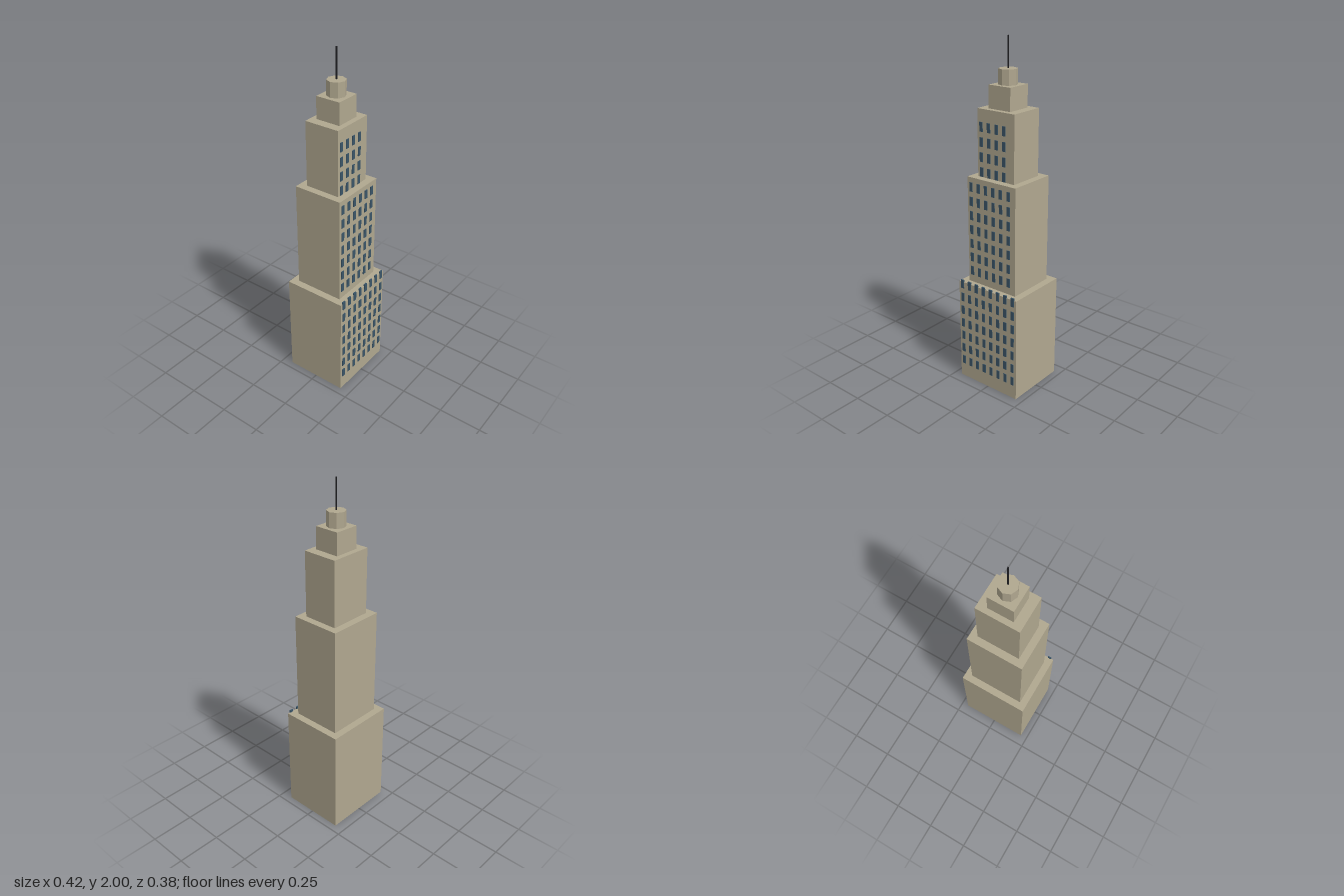
import * as THREE from 'three';

const stone = new THREE.MeshStandardMaterial({ color: 0xb0a78f });
stone.name = 'stone';
const glass = new THREE.MeshStandardMaterial({ color: 0x3a5568 });
glass.name = 'window glass';
const dark = new THREE.MeshStandardMaterial({ color: 0x1f1f22 });
dark.name = 'dark metal';

const ZC = -0.002;     // tower axis, set back by the window relief
const COL = 0.0521;    // window column spacing
const ROW = 0.0833;    // window row spacing

function add(parent, name, geometry, material, x, y, z) {
  const mesh = new THREE.Mesh(geometry, material);
  mesh.name = name;
  mesh.position.set(x, y, z);
  parent.add(mesh);
  return mesh;
}

export function createModel() {
  const tower = new THREE.Group();
  tower.name = 'tower';

  // Stepped tiers; windows are on the front only, cols from x0, rows from row0
  const tiers = [
    { name: 'baseTier', w: 0.417, d: 0.375, y0: 0, y1: 0.625, cols: 8, x0: -0.1825, rows: 7, row0: 0 },
    { name: 'middleTier', w: 0.333, d: 0.292, y0: 0.625, y1: 1.25, cols: 6, x0: -0.1405, rows: 7, row0: 7 },
    { name: 'upperTier', w: 0.25, d: 0.208, y0: 1.25, y1: 1.625, cols: 4, x0: -0.099, rows: 4, row0: 14 },
    { name: 'crownTier', w: 0.146, d: 0.146, y0: 1.625, y1: 1.75, cols: 0, x0: 0, rows: 0, row0: 0 },
  ];
  const pane = new THREE.BoxGeometry(0.0208, 0.052, 0.008);

  for (const t of tiers) {
    const group = new THREE.Group();
    group.name = t.name;
    tower.add(group);
    const h = t.y1 - t.y0;
    // The lowest tier has a dark underside
    const material = t.y0 === 0 ? [stone, stone, stone, dark, stone, stone] : stone;
    add(group, t.name + 'Walls', new THREE.BoxGeometry(t.w, h, t.d), material, 0, t.y0 + h / 2, ZC);
    for (let r = 0; r < t.rows; r++) {
      for (let c = 0; c < t.cols; c++) {
        add(group, 'window', pane, glass, t.x0 + c * COL, 0.112 + (t.row0 + r) * ROW, ZC + t.d / 2);
      }
    }
  }

  // Octagonal lantern
  const lantern = new THREE.CylinderGeometry(0.052, 0.052, 0.083, 8).toNonIndexed();
  lantern.computeVertexNormals();
  add(tower, 'lantern', lantern, stone, 0, 1.7915, ZC);

  // Mast
  add(tower, 'mast', new THREE.BoxGeometry(0.007, 0.167, 0.006), dark, 0, 1.9165, ZC);

  return tower;
}
